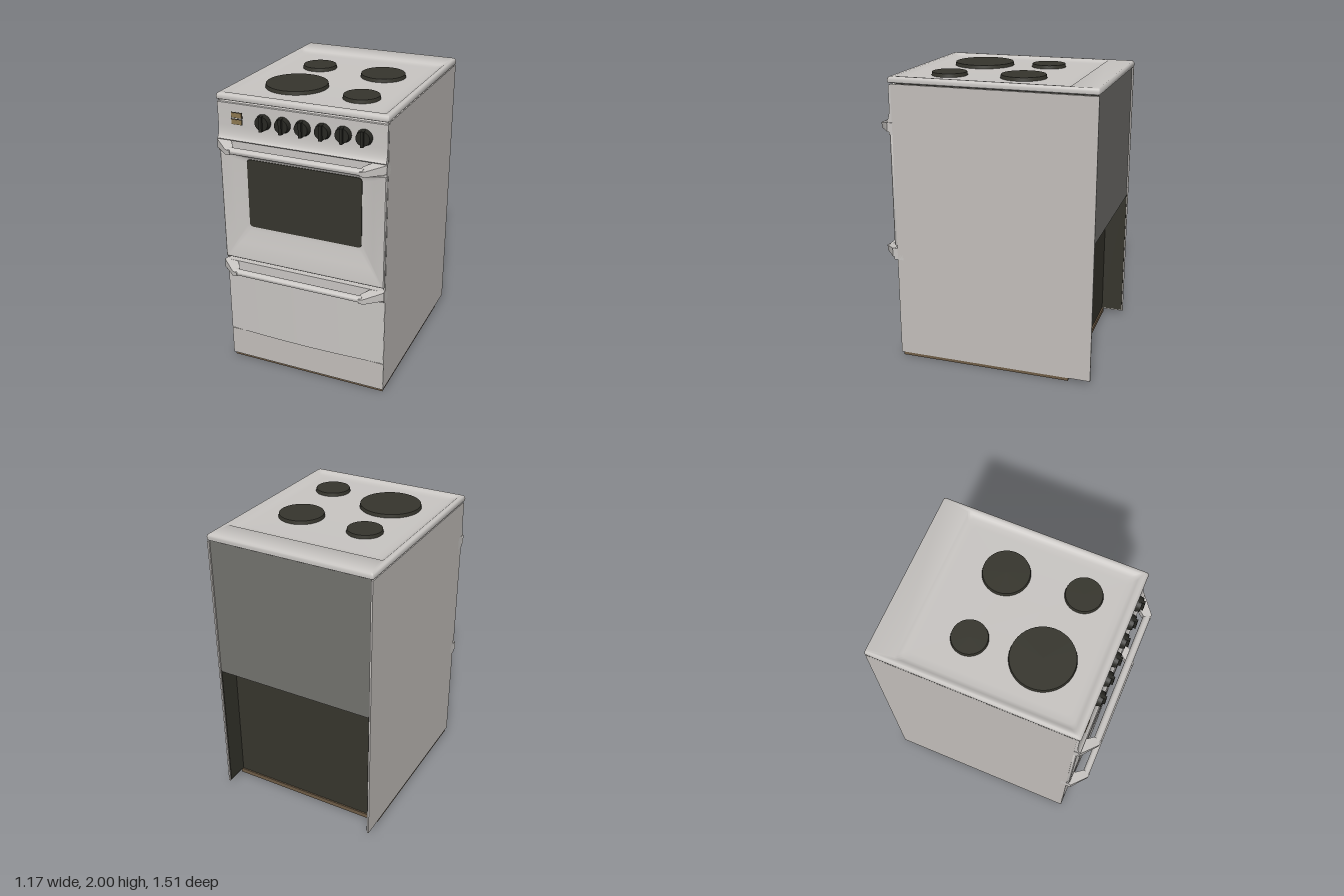
import * as THREE from 'three';
import { toCreasedNormals } from 'three/addons/utils/BufferGeometryUtils.js';
import { ConvexGeometry } from 'three/addons/geometries/ConvexGeometry.js';

const material = (name, color) => {
  const m = new THREE.MeshStandardMaterial({ color });
  m.name = name;
  return m;
};

// Rounded rectangle as a counter-clockwise loop of [x, y]
function roundedLoop(x0, x1, y0, y1, r, n = 5) {
  const corners = [[x1 - r, y0 + r, -0.5], [x1 - r, y1 - r, 0], [x0 + r, y1 - r, 0.5], [x0 + r, y0 + r, 1]];
  const pts = [];
  for (const [cx, cy, start] of corners) {
    for (let i = 0; i <= n; i++) {
      const a = (start + i / n / 2) * Math.PI;
      pts.push([cx + r * Math.cos(a), cy + r * Math.sin(a)]);
    }
  }
  return pts;
}

// Skin over nested loops facing +z, closed by a flat centre.
// Each ring is [x0, x1, y0, y1, cornerRadius, z].
function dish(rings, crease = 0.5) {
  const pos = [], index = [];
  let n = 0;
  for (const [x0, x1, y0, y1, r, z] of rings) {
    const loop = roundedLoop(x0, x1, y0, y1, r);
    n = loop.length;
    for (const [x, y] of loop) pos.push(x, y, z);
  }
  const [x0, x1, y0, y1, , zEnd] = rings[rings.length - 1];
  const centre = pos.length / 3;
  pos.push((x0 + x1) / 2, (y0 + y1) / 2, zEnd);
  for (let k = 0; k < rings.length; k++) {
    for (let i = 0; i < n; i++) {
      const j = (i + 1) % n, a = k * n + i, b = k * n + j;
      if (k === rings.length - 1) index.push(a, b, centre);
      else index.push(a, b, b + n, a, b + n, a + n);
    }
  }
  const g = new THREE.BufferGeometry();
  g.setAttribute('position', new THREE.Float32BufferAttribute(pos, 3));
  g.setIndex(index);
  return toCreasedNormals(g, crease);
}

export function createModel() {
  const root = new THREE.Group();
  root.name = 'cooker';

  const body = material('body grey', 0xc2beba);
  const enamel = material('enamel', 0xc8c5c2);
  const dark = material('dark glass and iron', 0x36352d);
  const black = material('knob black', 0x272722);
  const rear = material('rear panel grey', 0x73726e);
  const tan = material('base brown', 0x6e5c46);
  const amber = material('switch amber', 0x8c7750);

  const add = (name, geometry, mat, parent = root) => {
    const mesh = new THREE.Mesh(geometry, mat);
    mesh.name = name;
    parent.add(mesh);
    return mesh;
  };
  // Box given by its limits
  const box = (name, mat, x0, x1, y0, y1, z0, z1, parent) => {
    const g = new THREE.BoxGeometry(x1 - x0, y1 - y0, z1 - z0);
    g.translate((x0 + x1) / 2, (y0 + y1) / 2, (z0 + z1) / 2);
    return add(name, g, mat, parent);
  };

  // Carcass: base, core, side panels, rear panel over an open recess
  box('base', tan, -0.572, 0.572, 0, 0.032, -0.6, 0.605);
  box('core', dark, -0.566, 0.566, 0.03, 1.953, -0.59, 0.585);
  box('rearHousing', dark, -0.566, 0.566, 0.985, 1.953, -0.735, -0.585);
  box('rearPanel', rear, -0.568, 0.568, 0.98, 1.953, -0.742, -0.734);
  for (const s of [-1, 1]) {
    const [a, b] = s > 0 ? [0.568, 0.58] : [-0.58, -0.568];
    const [c, d] = s > 0 ? [0.562, 0.5685] : [-0.5685, -0.562];
    box('sidePanel', body, a, b, 0.025, 1.948, -0.753, 0.62);
    box('recessLining', dark, c, d, 0.035, 0.99, -0.745, -0.58);
  }
  box('kickPlate', body, -0.579, 0.579, 0.025, 0.235, 0.58, 0.621);

  // Drawer front, gently bowed
  const bow = new THREE.Shape();
  bow.moveTo(-0.578, -0.58);
  bow.lineTo(-0.578, -0.622);
  bow.quadraticCurveTo(0, -0.662, 0.578, -0.622);
  bow.lineTo(0.578, -0.58);
  const drawer = new THREE.ExtrudeGeometry(bow, { depth: 0.487, bevelEnabled: false, curveSegments: 16 });
  drawer.rotateX(-Math.PI / 2).translate(0, 0.241, 0);
  add('drawerFront', toCreasedNormals(drawer, 0.5), enamel);

  // Oven door, dished towards the window
  add('ovenDoor', dish([
    [-0.578, 0.578, 0.832, 1.612, 0.008, 0.58],
    [-0.578, 0.578, 0.832, 1.612, 0.008, 0.636],
    [-0.572, 0.572, 0.838, 1.606, 0.008, 0.642],
    [-0.555, 0.555, 0.855, 1.602, 0.01, 0.641],
    [-0.49, 0.49, 0.95, 1.585, 0.02, 0.622],
    [-0.425, 0.425, 1.045, 1.567, 0.03, 0.603],
    [-0.405, 0.405, 1.07, 1.56, 0.03, 0.6],
  ]), enamel);
  add('ovenWindow', dish([
    [-0.405, 0.405, 1.072, 1.56, 0.025, 0.598],
    [-0.403, 0.403, 1.074, 1.558, 0.025, 0.603],
  ]), dark);

  // Rail and bar handle, used on the door and the drawer
  for (const [name, y] of [['doorHandle', 1.65], ['drawerHandle', 0.77]]) {
    const handle = new THREE.Group();
    handle.name = name;
    handle.position.y = y;
    root.add(handle);
    box('rail', enamel, -0.58, 0.58, -0.04, 0.042, 0.58, 0.645, handle);
    const bar = new THREE.CylinderGeometry(0.022, 0.022, 0.92, 16);
    bar.rotateZ(Math.PI / 2).scale(1, 1, 1.1).translate(0, 0.003, 0.724);
    add('bar', toCreasedNormals(bar, 0.6), enamel, handle);
    for (const s of [-1, 1]) {
      const pts = [
        [0.58, -0.022, 0.64], [0.58, 0.045, 0.64], [0.49, -0.018, 0.64], [0.49, 0.04, 0.64],
        [0.584, -0.018, 0.655], [0.584, 0.042, 0.655],
        [0.442, -0.02, 0.7], [0.442, 0.027, 0.7], [0.442, -0.016, 0.748], [0.442, 0.012, 0.752],
        [0.475, -0.02, 0.745], [0.475, 0.018, 0.748],
      ].map(([x, py, z]) => new THREE.Vector3(s * x, py, z));
      add('bracket', toCreasedNormals(new ConvexGeometry(pts), 0.6), enamel, handle);
    }
  }

  // Control panel, flaring out along its lower edge
  const flare = new THREE.Shape();
  flare.moveTo(0.58, 1.943);
  flare.lineTo(0.632, 1.943);
  flare.lineTo(0.637, 1.938);
  flare.lineTo(0.637, 1.79);
  flare.quadraticCurveTo(0.639, 1.72, 0.66, 1.7);
  flare.lineTo(0.655, 1.694);
  flare.lineTo(0.58, 1.694);
  const panel = new THREE.ExtrudeGeometry(flare, { depth: 1.156, bevelEnabled: false, curveSegments: 6 });
  panel.rotateY(-Math.PI / 2).translate(0.578, 0, 0);
  add('controlPanel', toCreasedNormals(panel, 0.5), enamel);

  // Switches
  for (const y of [1.819, 1.863]) {
    box('switchFrame', black, -0.48, -0.4, y - 0.019, y + 0.019, 0.63, 0.639);
    box('switch', amber, -0.476, -0.404, y - 0.015, y + 0.015, 0.635, 0.643);
  }

  // Knobs with a grip ridge
  for (let i = 0; i < 6; i++) {
    const knob = new THREE.Group();
    knob.name = 'knob';
    knob.position.set(-0.25 + i * 0.136, 1.842, 0.637);
    root.add(knob);
    const dial = new THREE.CylinderGeometry(0.046, 0.053, 0.034, 24);
    dial.rotateX(Math.PI / 2).translate(0, 0, 0.017);
    add('dial', toCreasedNormals(dial, 0.6), black, knob);
    box('grip', black, -0.01, 0.01, -0.05, 0.05, 0, 0.05, knob);
  }

  // Hob: rim, sunken tray and wide rear ledge (z of the hob is -y of the loops)
  const hob = dish([
    [-0.57, 0.57, -0.63, 0.745, 0.01, 1.952],
    [-0.582, 0.582, -0.642, 0.755, 0.012, 1.958],
    [-0.584, 0.584, -0.645, 0.756, 0.012, 1.975],
    [-0.58, 0.58, -0.638, 0.753, 0.012, 1.99],
    [-0.57, 0.57, -0.625, 0.745, 0.012, 1.997],
    [-0.552, 0.552, -0.605, 0.57, 0.02, 1.996],
    [-0.54, 0.54, -0.593, 0.56, 0.025, 1.985],
    [-0.515, 0.515, -0.57, 0.54, 0.03, 1.978],
    [-0.47, 0.47, -0.53, 0.5, 0.04, 1.977],
  ], 0.9);
  hob.rotateX(-Math.PI / 2);
  add('hob', hob, enamel);

  // Hotplates
  for (const [x, z, r] of [[-0.245, -0.21, 0.12], [0.24, -0.175, 0.155], [-0.2, 0.25, 0.21], [0.285, 0.325, 0.122]]) {
    const plate = new THREE.CylinderGeometry(r - 0.006, r, 0.03, 40);
    plate.translate(x, 1.985, z);
    add('hotplate', toCreasedNormals(plate, 0.4), dark);
  }

  return root;
}
